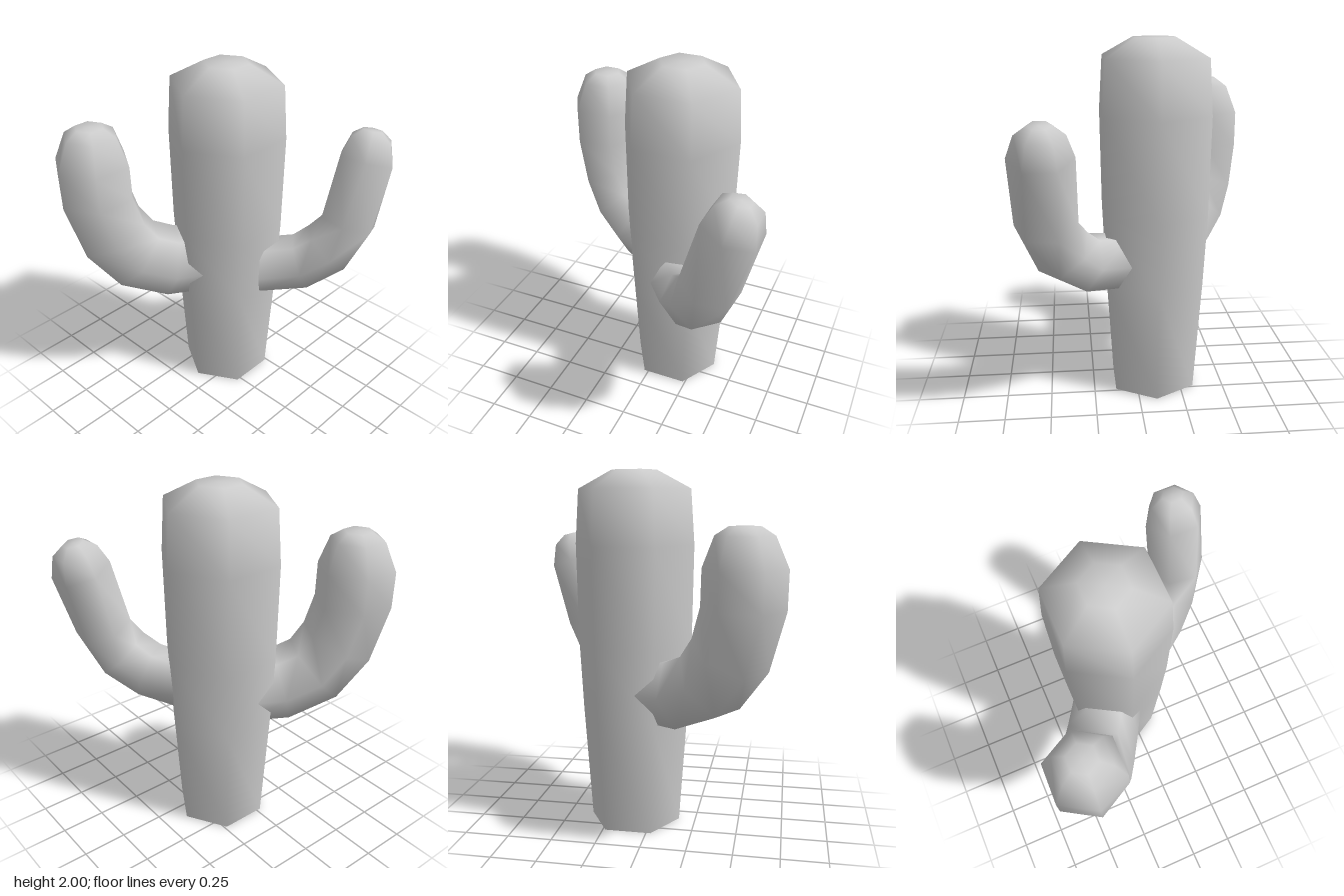
import * as THREE from 'three';

const SIDES = 6;
const rad = THREE.MathUtils.degToRad;

// Smooth six-sided skin over rings [x, y, z, yaw, tilt, radius], open at the start, capped at the end.
// yaw: heading the ring's outer flat faces; tilt: 0 = flat faces down, 90 = flat faces outward.
function loft(name, rings, material) {
  const pos = [], index = [];
  for (const [x, y, z, yaw, tilt, r] of rings) {
    const a = rad(yaw), t = rad(tilt);
    const side = new THREE.Vector3(-Math.cos(a), 0, Math.sin(a));
    const out = new THREE.Vector3(Math.sin(a) * Math.sin(t), -Math.cos(t), Math.cos(a) * Math.sin(t));
    for (let j = 0; j < SIDES; j++) {
      const p = (j / SIDES) * Math.PI * 2;
      const v = new THREE.Vector3(x, y, z)
        .addScaledVector(side, r * Math.cos(p))
        .addScaledVector(out, r * Math.sin(p));
      pos.push(v.x, v.y, v.z);
    }
  }
  for (let i = 0; i < rings.length - 1; i++) {
    for (let j = 0; j < SIDES; j++) {
      const k = (j + 1) % SIDES;
      const a = i * SIDES + j, b = i * SIDES + k, c = a + SIDES, d = b + SIDES;
      index.push(a, b, c, b, d, c);
    }
  }
  // end cap
  const last = (rings.length - 1) * SIDES, tip = rings.length * SIDES;
  pos.push(...rings[rings.length - 1].slice(0, 3));
  for (let j = 0; j < SIDES; j++) index.push(last + j, last + ((j + 1) % SIDES), tip);

  const geo = new THREE.BufferGeometry();
  geo.setAttribute('position', new THREE.Float32BufferAttribute(pos, 3));
  geo.setIndex(index);
  geo.computeVertexNormals();
  const mesh = new THREE.Mesh(geo, material);
  mesh.name = name;
  return mesh;
}

export function createModel() {
  const group = new THREE.Group();
  group.name = 'cactus';
  const mat = new THREE.MeshStandardMaterial({ color: 0xcccccc, side: THREE.DoubleSide });

  // trunk: widens upwards, then closes in a blunt dome
  const cx = -0.1, cz = -0.105;
  const trunk = [[0, 0.26], [0.65, 0.304], [1.05, 0.325], [1.6, 0.335], [1.9, 0.315], [2, 0.127]]
    .map(([y, r]) => [cx, y, cz, 90, 90, r]);
  group.add(loft('trunk', trunk, mat));

  // thick arm: bends upwards in one vertical plane; [distance from trunk axis, y, tilt, radius]
  const yaw = -31.5;
  const thickArm = [
    [0.1, 0.805, 0, 0.2], [0.345, 0.815, 14, 0.208], [0.54, 0.9, 40, 0.212], [0.665, 1.065, 64, 0.214],
    [0.74, 1.31, 88, 0.216], [0.745, 1.51, 90, 0.215], [0.74, 1.67, 90, 0.15], [0.74, 1.715, 90, 0.08],
  ].map(([s, y, tilt, r]) => [cx + s * Math.sin(rad(yaw)), y, cz + s * Math.cos(rad(yaw)), yaw, tilt, r]);
  group.add(loft('thickArm', thickArm, mat));

  // thin arm: twists towards the back while it rises
  const thinArm = [
    [0.11, 0.785, -0.185, 127, 0, 0.163], [0.3, 0.83, -0.32, 127, 20, 0.163],
    [0.41, 0.93, -0.42, 133, 45, 0.164], [0.49, 1.1, -0.5, 172, 72, 0.165],
    [0.502, 1.47, -0.603, 180, 73, 0.167], [0.502, 1.585, -0.627, 180, 76, 0.125],
    [0.502, 1.632, -0.634, 180, 76, 0.06],
  ];
  group.add(loft('thinArm', thinArm, mat));

  return group;
}
